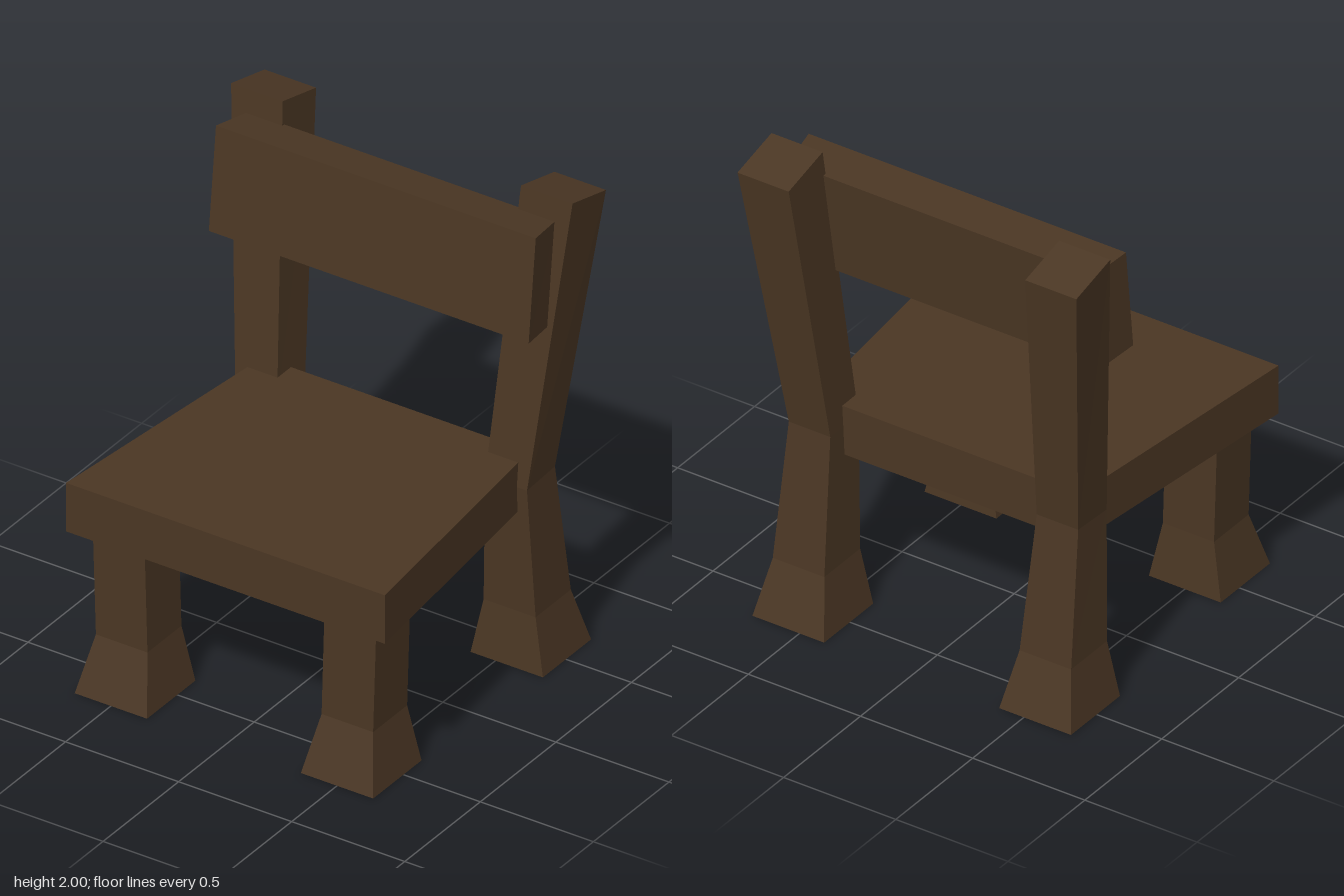
import * as THREE from 'three';

const wood = new THREE.MeshStandardMaterial({ color: 0x4a3623 });
wood.name = 'darkWood';

// One four-sided section: front edge and back edge, each [xMin, xMax, y, z]
const section = (front, back) => [
  [front[0], front[2], front[3]], [front[1], front[2], front[3]],
  [back[1], back[2], back[3]], [back[0], back[2], back[3]],
];

// Closed flat-sided solid through sections listed from bottom to top
function loft(name, sections) {
  const pos = [];
  const quad = (a, b, c, d) => pos.push(...a, ...b, ...c, ...a, ...c, ...d);
  for (let s = 0; s < sections.length - 1; s++) {
    const lo = sections[s], hi = sections[s + 1];
    for (let i = 0; i < 4; i++) {
      const j = (i + 1) % 4;
      quad(lo[i], lo[j], hi[j], hi[i]);
    }
  }
  const [a, b, c, d] = sections[0];
  quad(d, c, b, a);
  quad(...sections[sections.length - 1]);
  const geo = new THREE.BufferGeometry();
  geo.setAttribute('position', new THREE.Float32BufferAttribute(pos, 3));
  geo.computeVertexNormals();
  const mesh = new THREE.Mesh(geo, wood);
  mesh.name = name;
  return mesh;
}

// Leg from rows [xInner, xOuter, zFront, zBack, yFront, yBack]; side is +1 or -1
function leg(name, rows, side) {
  return loft(name, rows.map(([xi, xo, zf, zb, yf, yb = yf]) => {
    const [x0, x1] = side > 0 ? [xi, xo] : [-xo, -xi];
    return section([x0, x1, yf, zf], [x0, x1, yb, zb]);
  }));
}

const frontLegRows = [
  [0.34, 0.66, 0.70, 0.38, 0],
  [0.385, 0.613, 0.63, 0.405, 0.235],
  [0.398, 0.627, 0.63, 0.405, 0.70],
];

// Rear legs bend at seat height and lean back up to a tilted top
const backLegRows = [
  [0.39, 0.71, -0.348, -0.667, 0],
  [0.435, 0.665, -0.367, -0.60, 0.235],
  [0.46, 0.645, -0.34, -0.525, 0.79, 0.80],
  [0.527, 0.755, -0.477, -0.698, 2.0, 1.945],
];

export function createModel() {
  const group = new THREE.Group();
  group.name = 'chair';

  // Seat, narrowing toward the back
  group.add(loft('seat', [0.68, 0.89].map((y) =>
    section([-0.705, 0.705, y, 0.69], [-0.59, 0.59, y, -0.44]))));

  // Tilted backrest board, slightly narrower at its rear face
  group.add(loft('backrest', [
    section([-0.707, 0.707, 1.49, -0.258], [-0.68, 0.68, 1.47, -0.435]),
    section([-0.707, 0.707, 1.922, -0.305], [-0.68, 0.68, 1.90, -0.48]),
  ]));

  // Legs, mirrored left and right
  for (const [side, label] of [[1, 'Left'], [-1, 'Right']]) {
    group.add(leg('frontLeg' + label, frontLegRows, side));
    group.add(leg('backLeg' + label, backLegRows, side));
  }
  return group;
}
